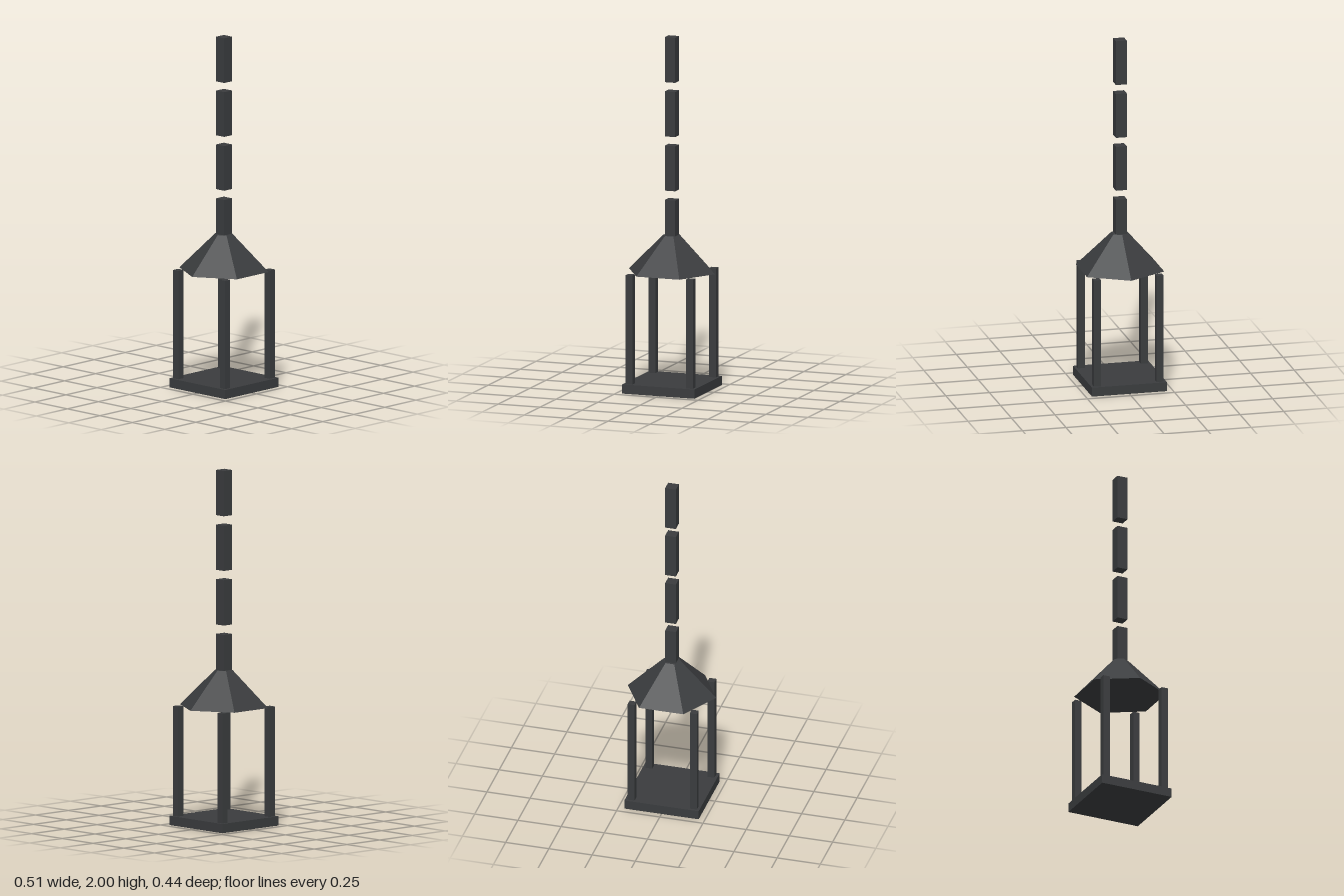
import * as THREE from 'three';

export function createModel() {
  const group = new THREE.Group();
  const iron = new THREE.MeshStandardMaterial({ color: 0x3a3c3e, flatShading: true });

  const add = (name, geometry, x, y, z) => {
    const mesh = new THREE.Mesh(geometry, iron);
    mesh.name = name;
    mesh.position.set(x, y, z);
    group.add(mesh);
  };

  // Square base plate
  const baseH = 0.052, roofY = 0.67, roofH = 0.205;
  add('base', new THREE.BoxGeometry(0.43, baseH, 0.43), 0, baseH / 2, 0);

  // Four corner posts
  const postH = roofY - baseH;
  const post = new THREE.BoxGeometry(0.04, postH, 0.04);
  for (const x of [-0.18, 0.18]) {
    for (const z of [-0.18, 0.18]) add('post', post, x, baseH + postH / 2, z);
  }

  // Six-sided tapered roof, with corners on the x axis
  const roof = new THREE.CylinderGeometry(0.051, 0.256, roofH, 6, 1, false, Math.PI / 6);
  add('roof', roof, 0, roofY + roofH / 2, 0);

  // Hanging chain of separate bars, the lowest sunk into the roof
  const linkH = 0.255;
  const link = new THREE.BoxGeometry(0.062, linkH, 0.062);
  for (let i = 0; i < 4; i++) add('chainLink', link, 0, 2 - linkH / 2 - i * 0.3075, 0);

  return group;
}
